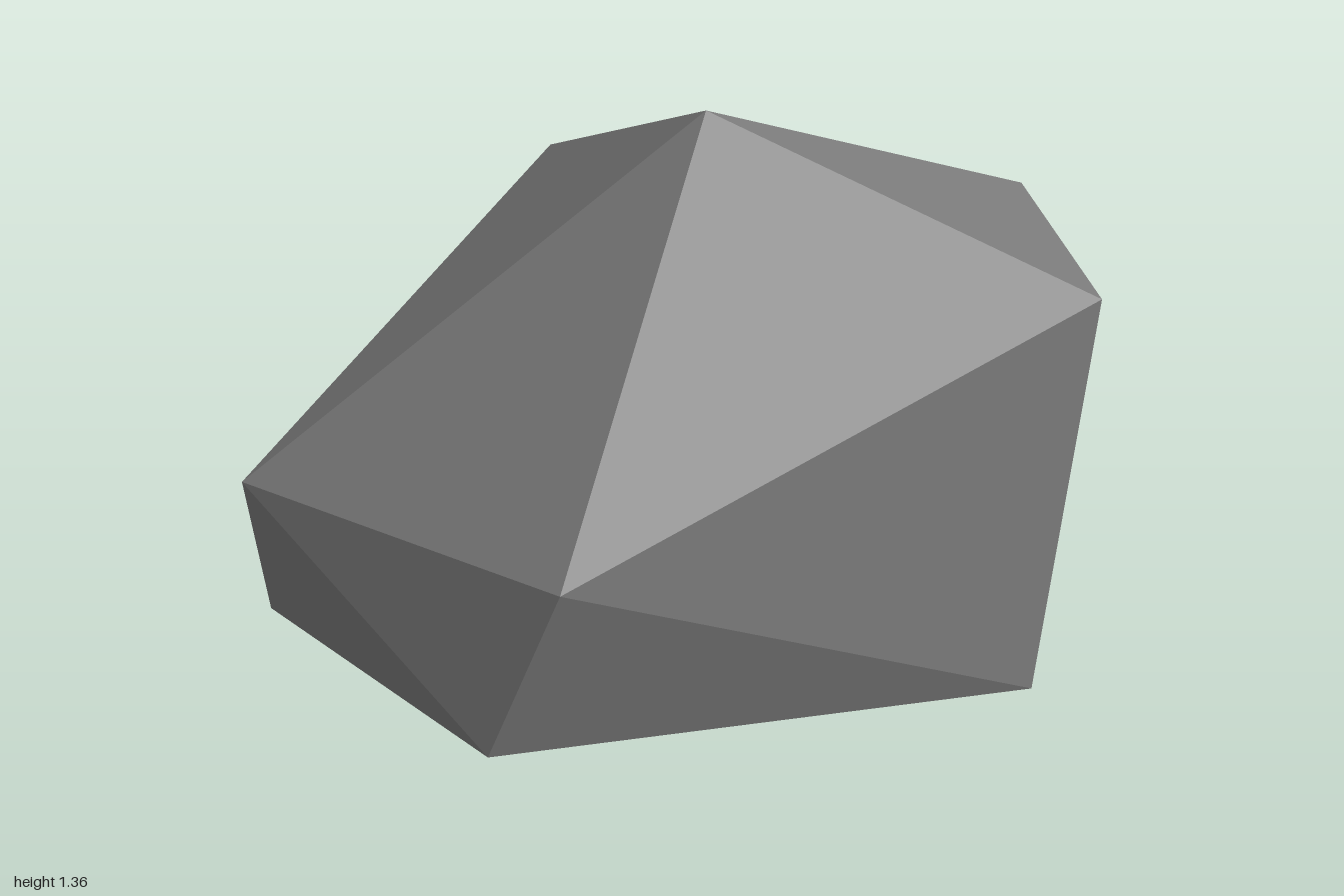
import * as THREE from 'three';

export function createModel() {
  const group = new THREE.Group();
  group.name = 'rock';

  // Peak and two five-sided rings, each listed left, front, right, back right, back left
  const peak = [0.1, 1.355, 0.19];
  const shoulder = [
    [-0.985, 0.46, 0.375], [-0.15, 0.48, 0.855], [1, 0.96, 0.25],
    [0.87, 0.935, -0.595], [-0.41, 0.935, -0.785],
  ];
  const base = [
    [-1, 0.005, 0.2], [-0.33, 0.025, 0.81], [0.9, 0.025, 0.41],
    [0.99, 0, -0.455], [-0.24, 0, -0.855],
  ];

  const positions = [];
  const face = (...corners) => corners.forEach((p) => positions.push(...p));
  const n = base.length;
  for (let i = 0; i < n; i++) {
    const j = (i + 1) % n;
    face(peak, shoulder[i], shoulder[j]); // sloping top
    face(shoulder[i], base[i], base[j]); // sides
    face(shoulder[i], base[j], shoulder[j]);
  }
  // Underside
  for (let i = 0; i < n - 2; i++) face(base[n - 1], base[i + 1], base[i]);

  const geometry = new THREE.BufferGeometry();
  geometry.setAttribute('position', new THREE.Float32BufferAttribute(positions, 3));
  geometry.computeVertexNormals();

  const stone = new THREE.MeshStandardMaterial({ color: 0x7a7a7a });
  stone.name = 'grey stone';
  stone.flatShading = true;

  const boulder = new THREE.Mesh(geometry, stone);
  boulder.name = 'boulder';
  group.add(boulder);
  return group;
}
